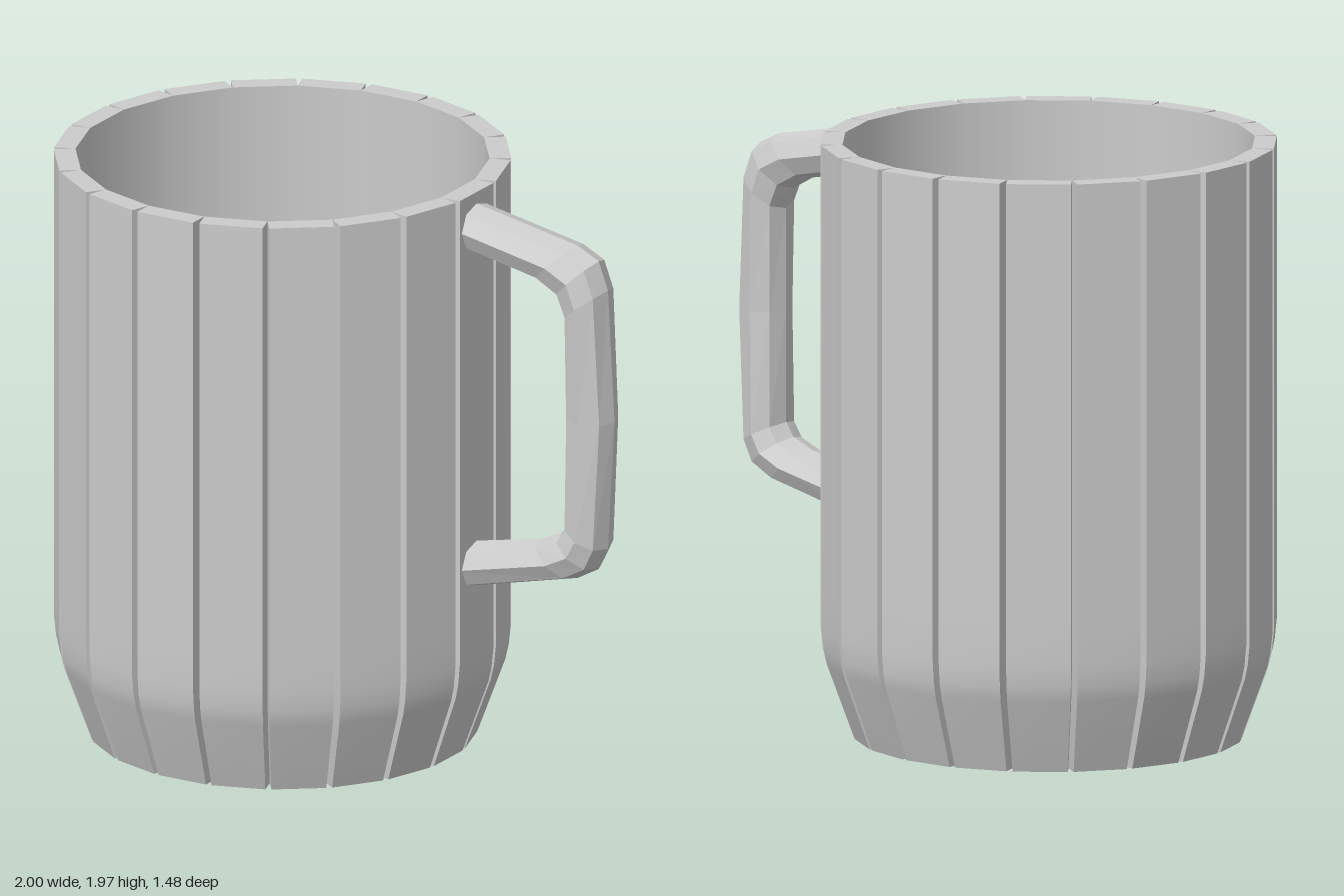
import * as THREE from 'three';

const STAVES = 20, HEIGHT = 1.97, FLOOR = 0.32, CENTRE_X = -0.2625;
const HALF = Math.PI / STAVES;

const material = new THREE.MeshStandardMaterial({ color: 0xcccccc });
const flatMaterial = new THREE.MeshStandardMaterial({ color: 0xcccccc, flatShading: true });

// Skin over rows of points; each row has the same number of points
function skin(rows, closed = false) {
  const n = rows[0].length, index = [];
  for (let i = 0; i < rows.length - 1; i++) {
    for (let j = 0; j < (closed ? n : n - 1); j++) {
      const k = (j + 1) % n;
      const a = i * n + j, b = i * n + k, c = (i + 1) * n + k, d = (i + 1) * n + j;
      index.push(a, b, c, a, c, d);
    }
  }
  const g = new THREE.BufferGeometry();
  g.setAttribute('position', new THREE.Float32BufferAttribute(rows.flat(2), 3));
  g.setIndex(index);
  g.computeVertexNormals();
  return g;
}

function add(parent, name, geometry, mat = material) {
  const mesh = new THREE.Mesh(geometry, mat);
  mesh.name = name;
  parent.add(mesh);
  return mesh;
}

// One plank of the wall, facing +x: [y, outer radius, inner radius] from bottom to top
function createStave() {
  const stave = new THREE.Group();
  const levels = [
    [0, 0.63, 0.567], [0.25, 0.72, 0.65], [0.3, 0.731, 0.661],
    [0.37, 0.738, 0.667], [0.5, 0.738, 0.667], [HEIGHT, 0.738, 0.667],
  ];
  const corner = ([y, ro, ri], outer, side) => [outer ? ro : ri, y, side * ri * Math.tan(HALF)];
  add(stave, 'staveFace', skin(levels.map((l) => [corner(l, true, 1), corner(l, true, -1)])));
  add(stave, 'staveFrontEdge', skin(levels.map((l) => [corner(l, false, 1), corner(l, true, 1)])));
  add(stave, 'staveBackEdge', skin(levels.map((l) => [corner(l, true, -1), corner(l, false, -1)])));
  const cap = (l, s) => skin([[corner(l, true, s), corner(l, true, -s)], [corner(l, false, s), corner(l, false, -s)]]);
  add(stave, 'staveTop', cap(levels[levels.length - 1], 1));
  add(stave, 'staveBottom', cap(levels[0], -1));
  return stave;
}

// Octagonal bar swept through [outer x, outer y, inner x, inner y, width] stations
function createHandle() {
  const stations = [
    [0.43, 1.94, 0.43, 1.785, 1],
    [0.86, 1.855, 0.72, 1.725, 1],
    [0.94, 1.815, 0.8, 1.68, 1],
    [0.975, 1.72, 0.83, 1.61, 1],
    [1.0, 1.27, 0.83, 1.27, 0.92],
    [0.975, 0.83, 0.83, 0.9, 1],
    [0.94, 0.755, 0.8, 0.855, 1],
    [0.86, 0.71, 0.72, 0.82, 1],
    [0.43, 0.605, 0.43, 0.76, 1],
  ];
  // Section as [depth from the outer ridge, half width]
  const section = [[0, 0], [0.13, 0.065], [0.5, 0.093], [0.87, 0.065],
    [1, 0], [0.87, -0.065], [0.5, -0.093], [0.13, -0.065]];
  const rows = stations.map(([ox, oy, ix, iy, w]) => section.map(([t, z]) => [
    THREE.MathUtils.lerp(ox, ix, t), THREE.MathUtils.lerp(oy, iy, t), z * w,
  ]));
  return skin(rows, true);
}

export function createModel() {
  const model = new THREE.Group();
  model.name = 'mug';
  const body = new THREE.Group();
  body.name = 'body';
  body.position.x = CENTRE_X;
  model.add(body);

  // Ring of planks
  for (let i = 0; i < STAVES; i++) {
    const stave = createStave();
    stave.name = 'stave';
    stave.rotation.y = i * 2 * HALF;
    body.add(stave);
  }

  // Smooth inside wall, inner floor and base
  const radius = 0.667 / Math.cos(HALF);
  add(body, 'innerWall', new THREE.LatheGeometry(
    [new THREE.Vector2(radius, HEIGHT), new THREE.Vector2(radius, FLOOR)], STAVES, HALF));
  const floor = add(body, 'innerFloor', new THREE.CircleGeometry(radius, STAVES, HALF));
  floor.rotation.x = -Math.PI / 2;
  floor.position.y = FLOOR;
  const base = add(body, 'base', new THREE.CircleGeometry(0.567 / Math.cos(HALF), STAVES, HALF));
  base.rotation.x = Math.PI / 2;

  add(model, 'handle', createHandle(), flatMaterial);
  return model;
}
